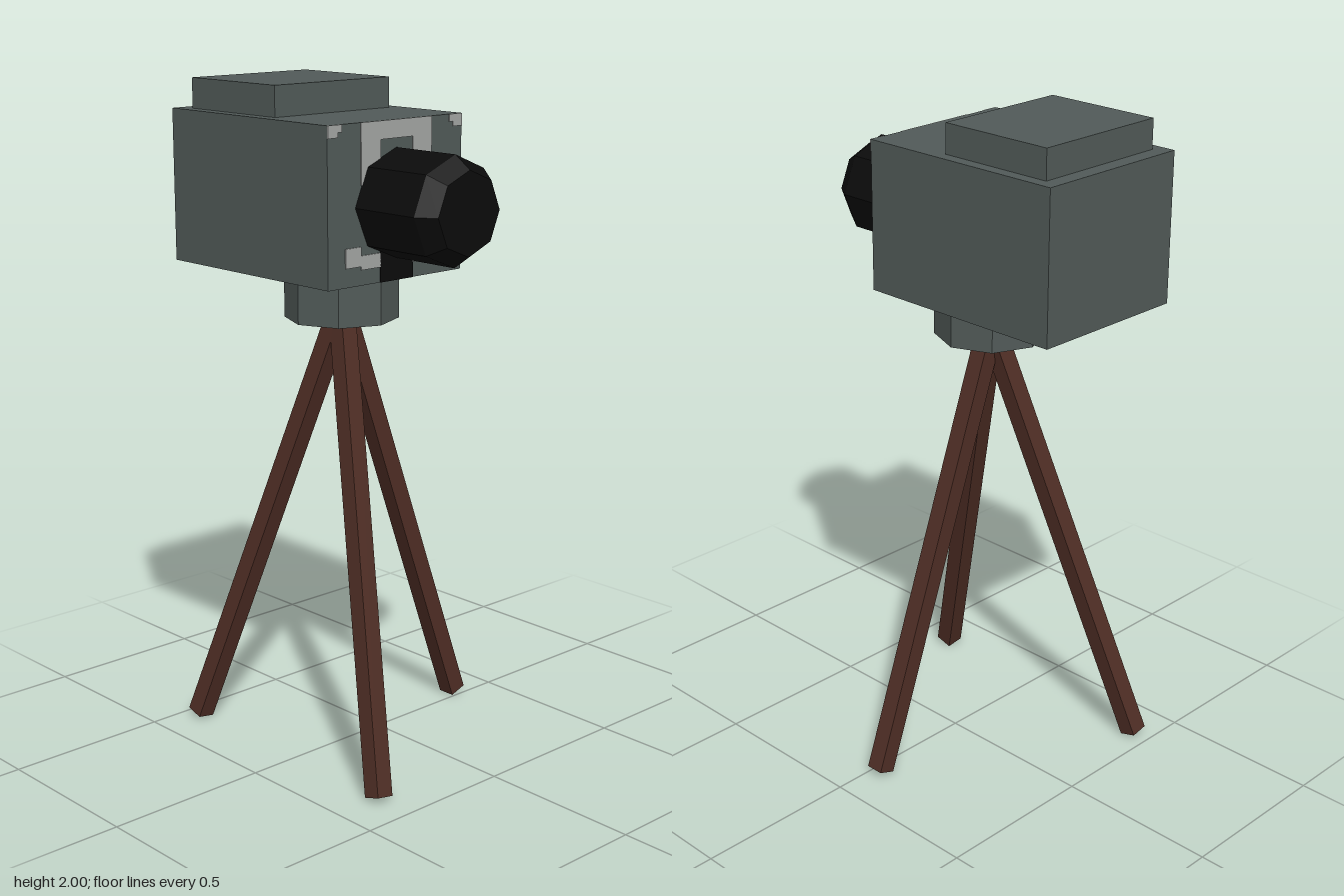
import * as THREE from 'three';

const mat = (name, color) => {
  const m = new THREE.MeshStandardMaterial({ color });
  m.name = name;
  return m;
};

export function createModel() {
  const group = new THREE.Group();
  const grey = mat('slateGrey', 0x515a58);
  const black = mat('black', 0x0b0b0b);
  const light = mat('lightGrey', 0xa4a6a4);
  const wood = mat('darkWood', 0x4f2e25);
  const CX = -0.119, CZ = -0.03, FRONT = 0.2;

  const add = (name, geo, material, x, y, z) => {
    const mesh = new THREE.Mesh(geo, material);
    mesh.name = name;
    mesh.position.set(x, y, z);
    group.add(mesh);
    return mesh;
  };
  // Octagonal solids with hard edges
  const facet = (geo) => {
    const g = geo.toNonIndexed();
    g.computeVertexNormals();
    return g;
  };

  // Camera housing and top cover
  add('cameraBody', new THREE.BoxGeometry(0.513, 0.45, 0.682), grey, CX, 1.686, -0.141);
  add('topCover', new THREE.BoxGeometry(0.438, 0.09, 0.373), grey, CX, 1.955, -0.247);

  // Octagonal mount under the housing
  add('tripodMount', facet(new THREE.CylinderGeometry(0.168, 0.168, 0.142, 8)), grey, CX, 1.39, CZ);

  // Lens barrel with a bevelled front rim
  const barrel = facet(new THREE.CylinderGeometry(0.155, 0.155, 0.235, 8));
  add('lensBarrel', barrel, black, CX, 1.679, 0.3125).rotation.x = Math.PI / 2;
  const rim = facet(new THREE.CylinderGeometry(0.118, 0.155, 0.055, 8));
  add('lensRim', rim, black, CX, 1.679, 0.4575).rotation.x = Math.PI / 2;

  // Painted front details: [x0, x1, y0, y1], x measured from the centre line
  const plate = (name, [x0, x1, y0, y1], material, side = 1) =>
    add(name, new THREE.BoxGeometry(x1 - x0, y1 - y0, 0.004), material,
      CX + side * (x0 + x1) / 2, (y0 + y1) / 2, FRONT + 0.001);
  for (const side of [-1, 1]) {
    plate('cornerMark', [0.205, 0.256, 1.89, 1.911], light, side);
    plate('cornerMarkStep', [0.22, 0.256, 1.876, 1.89], light, side);
    plate('archArm', [0.062, 0.135, 1.74, 1.86], light, side);
    plate('lowerMark', [0.062, 0.135, 1.505, 1.545], light, side);
    plate('lowerMarkOuter', [0.135, 0.193, 1.515, 1.57], light, side);
  }
  plate('archTop', [-0.135, 0.135, 1.86, 1.911], light);
  plate('lowerStrip', [-0.063, 0.063, 1.461, 1.66], black);

  // Three splayed tripod legs
  const top = new THREE.Vector3(CX, 1.345, CZ);
  for (let i = 0; i < 3; i++) {
    const a = i * Math.PI * 2 / 3;
    const foot = new THREE.Vector3(CX + 0.477 * Math.cos(a), 0.011, CZ + 0.477 * Math.sin(a));
    const dir = top.clone().sub(foot);
    const mid = top.clone().add(foot).multiplyScalar(0.5);
    const leg = add('tripodLeg', new THREE.BoxGeometry(0.056, dir.length(), 0.056), wood, mid.x, mid.y, mid.z);
    leg.quaternion.setFromUnitVectors(new THREE.Vector3(0, 1, 0), dir.normalize());
  }
  return group;
}
